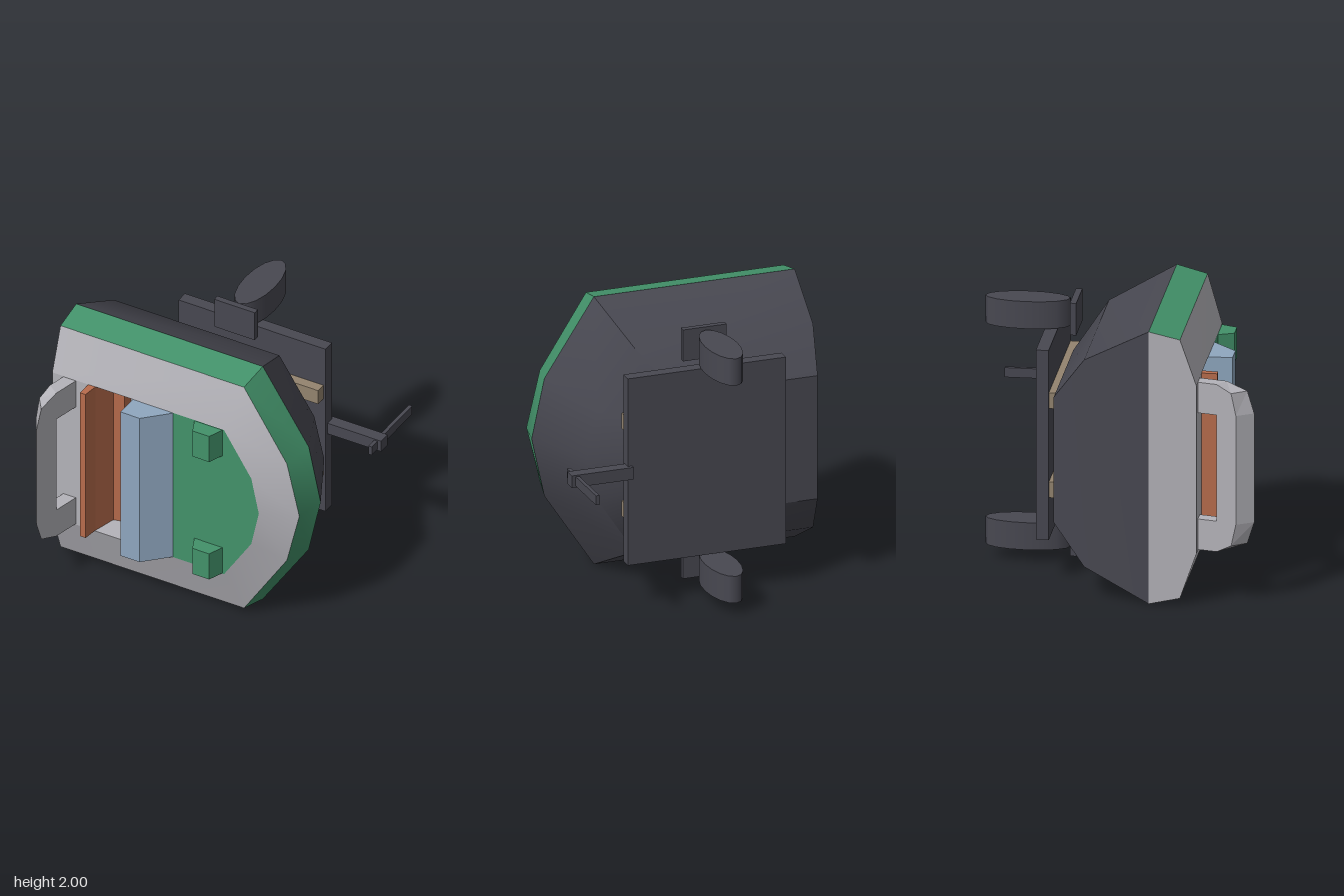
import * as THREE from 'three';
import { toCreasedNormals } from 'three/addons/utils/BufferGeometryUtils.js';

const mat = (name, color, extra = {}) => new THREE.MeshStandardMaterial({ name, color, ...extra });

export function createModel() {
  const dark = mat('charcoal', 0x484851);
  const green = mat('green', 0x43926a);
  const grey = mat('light grey', 0xb4b3b9, { side: THREE.DoubleSide });
  const blue = mat('blue', 0x8fa7bf);
  const orange = mat('orange', 0xb86c4c);
  const tan = mat('tan', 0x94846f);

  const model = new THREE.Group();
  const body = new THREE.Group(); // mirrored about its own y = 0
  body.name = 'craft';
  body.position.y = 1;
  model.add(body);

  const add = (name, geometry, material) => {
    const mesh = new THREE.Mesh(geometry, material);
    mesh.name = name;
    body.add(mesh);
    return mesh;
  };
  // Box given by its extents
  const box = (name, material, x0, x1, y0, y1, z0, z1) =>
    add(name, new THREE.BoxGeometry(x1 - x0, y1 - y0, z1 - z0)
      .translate((x0 + x1) / 2, (y0 + y1) / 2, (z0 + z1) / 2), material);
  const shapeOf = (pts) => new THREE.Shape(pts.map(([a, b]) => new THREE.Vector2(a, b)));
  // Prism with an (x, z) profile running along y
  const prism = (name, material, pts, y0, y1) =>
    add(name, new THREE.ExtrudeGeometry(shapeOf(pts), { depth: y1 - y0, bevelEnabled: false })
      .rotateX(Math.PI / 2).translate(0, y1, 0), material);

  // Hull outline: square stern, pointed bow
  const ring = (z, stern, w, cornerX, midX, midW, tip) => [
    [stern, -w, z], [cornerX, -w, z], [midX, -midW, z], [tip, 0, z],
    [midX, midW, z], [cornerX, w, z], [stern, w, z],
  ];
  const loft = (rings, first = 0, last = 7) => {
    const pos = [];
    for (let r = 0; r < rings.length - 1; r++) {
      for (let i = first; i < last; i++) {
        const j = (i + 1) % 7;
        const [a, b, c, d] = [rings[r][i], rings[r][j], rings[r + 1][j], rings[r + 1][i]];
        pos.push(...a, ...b, ...c, ...a, ...c, ...d);
      }
    }
    const g = new THREE.BufferGeometry();
    g.setAttribute('position', new THREE.Float32BufferAttribute(pos, 3));
    g.computeVertexNormals();
    return toCreasedNormals(g, 0.7);
  };
  const bottom = ring(-0.41, -0.91, 0.46, 0.13, 0.31, 0.2, 0.37);
  const bilge = ring(-0.19, -0.96, 0.76, 0.37, 0.65, 0.335, 0.73);
  const bandLow = ring(0.27, -1, 1, 0.5, 0.87, 0.44, 0.965);
  const bandTop = ring(0.49, -1, 0.95, 0.475, 0.82, 0.415, 0.92);
  const rimTop = ring(0.605, -1, 0.62, 0.38, 0.6, 0.28, 0.66);

  add('hull', loft([bottom, bilge, bandLow]), dark);
  add('hullBottom', new THREE.ShapeGeometry(shapeOf(bottom)).rotateX(Math.PI).translate(0, 0, -0.41), dark);
  add('hullBand', loft([bandLow, bandTop], 0, 6), green);
  add('deckRim', loft([bandTop, rimTop]), grey);
  add('sternPanel', loft([bandLow, bandTop], 6, 7), grey);

  // Deck surfaces and recessed well
  const foredeck = [[-0.05, -0.62], ...rimTop.slice(1, 6), [-0.05, 0.62]];
  add('foredeck', new THREE.ShapeGeometry(shapeOf(foredeck)).translate(0, 0, 0.605), green);
  const flat = (name, x0, x1, z) =>
    add(name, new THREE.PlaneGeometry(x1 - x0, 1.24).translate((x0 + x1) / 2, 0, z), grey);
  flat('aftDeck', -1, -0.71, 0.605);
  flat('wellFloor', -0.71, -0.35, 0.32);
  for (const s of [-1, 1]) {
    add('wellSide', new THREE.PlaneGeometry(0.36, 0.285).rotateX(s * Math.PI / 2)
      .translate(-0.53, s * 0.62, 0.4625), grey);
  }

  // Seat and console across the well
  prism('seat', orange, [
    [-0.71, 0.32], [-0.53, 0.32], [-0.53, 0.41], [-0.61, 0.43],
    [-0.655, 0.6], [-0.67, 0.715], [-0.715, 0.715],
  ], -0.617, 0.617);
  prism('console', blue, [
    [-0.355, 0.32], [-0.03, 0.32], [-0.03, 0.605], [-0.2, 0.775], [-0.355, 0.775],
  ], -0.618, 0.618);

  // Leaning arch at the stern; its rear edge is lower than its front edge
  const arch = new THREE.ExtrudeGeometry(shapeOf([
    [-0.615, 0.6], [-0.39, 0.6], [-0.39, 0.8], [0.39, 0.8], [0.39, 0.6], [0.615, 0.6],
    [0.615, 0.8], [0.56, 0.95], [0.4, 1], [-0.4, 1], [-0.56, 0.95], [-0.615, 0.8],
  ]), { depth: 0.1, bevelEnabled: false });
  const p = arch.attributes.position;
  for (let i = 0; i < p.count; i++) {
    const y = p.getX(i), e = p.getZ(i);
    const z = 0.6 + (p.getY(i) - 0.6) * (e < 0.05 ? 0.7 : 1);
    p.setXYZ(i, -0.91 + e - 0.23 * (z - 0.6), y, z);
  }
  arch.computeVertexNormals();
  add('sternArch', arch, grey);

  // Backing plate and side arm
  box('backPlate', dark, -0.61, 0.57, -0.695, 0.7, -0.575, -0.485);
  box('arm', dark, 0.54, 1, -0.045, 0.045, -0.605, -0.515);
  box('armRod', dark, 0.945, 0.972, -0.035, 0.035, -1, -0.435);

  // Parts repeated on both sides
  for (const s of [-1, 1]) {
    const span = (a, b) => (s > 0 ? [a, b] : [-b, -a]);
    prism('deckBlock', green, [[0.14, 0.6], [0.37, 0.6], [0.325, 0.717], [0.19, 0.717]], ...span(0.395, 0.615));
    box('spacer', tan, -0.6, 0.555, ...span(0.27, 0.385), -0.49, -0.41);
    box('finBracket', dark, -0.24, 0.085, ...span(0.695, 0.93), -0.385, -0.34);
    add('fin', new THREE.CylinderGeometry(1, 1, 0.2, 16).scale(0.12, 1, 0.298)
      .translate(-0.077, s * 0.813, -0.7), dark);
  }
  return model;
}
